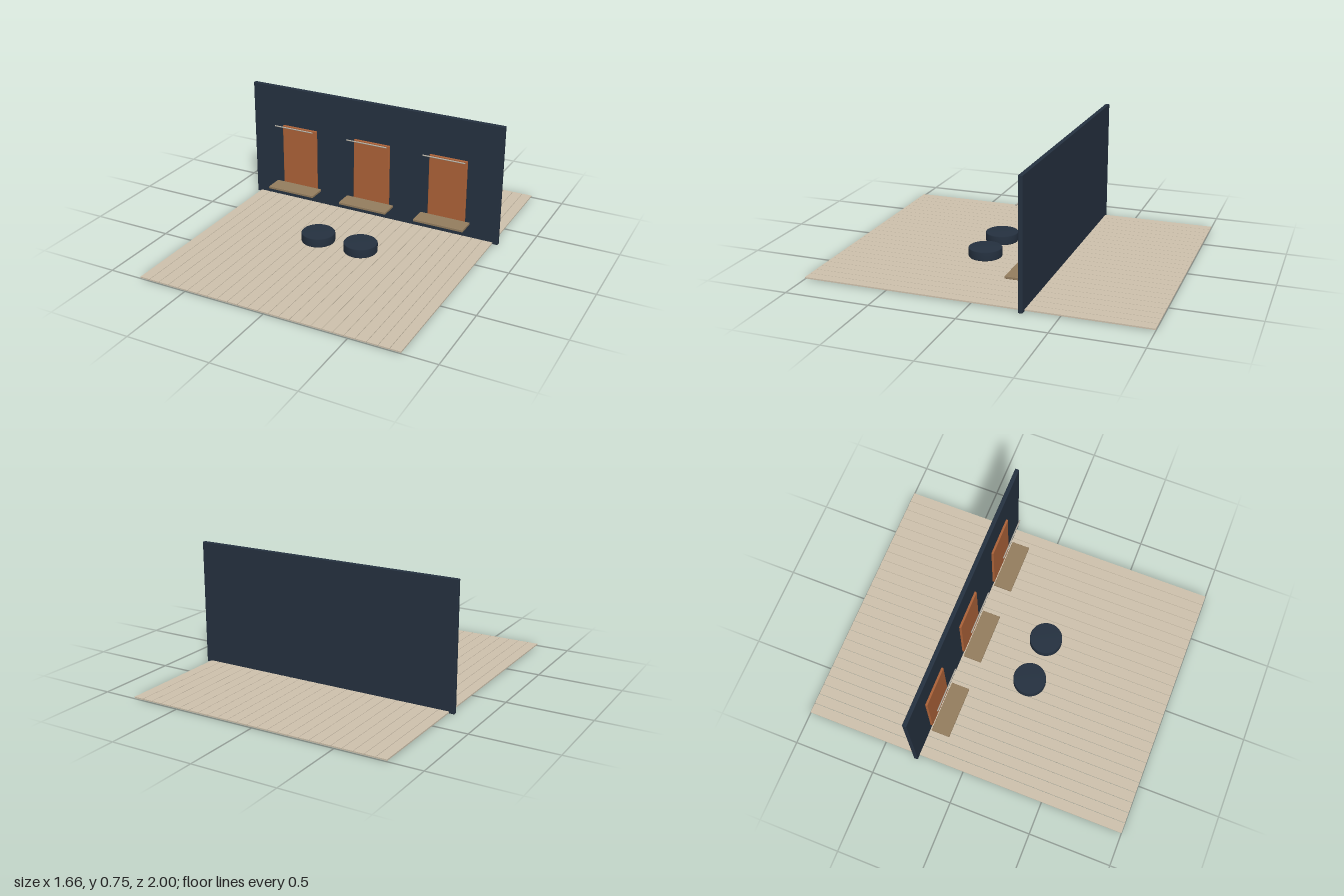
import * as THREE from 'three';
import { RoundedBoxGeometry } from 'three/addons/geometries/RoundedBoxGeometry.js';

const material = (name, color) => {
  const m = new THREE.MeshStandardMaterial({ color });
  m.name = name;
  return m;
};

export function createModel() {
  const navy = material('navy', 0x253140);
  const terracotta = material('terracotta', 0xac6238);
  const wood = material('shelf wood', 0x957e5f);
  const paleWood = material('pale deck wood', 0xcfc2ad);
  const metal = material('rod metal', 0xb5b0a4);

  const model = new THREE.Group();
  model.name = 'displayStand';

  const add = (name, geometry, mat, x, y, z) => {
    const mesh = new THREE.Mesh(geometry, mat);
    mesh.name = name;
    mesh.position.set(x, y, z);
    model.add(mesh);
    return mesh;
  };

  // Deck of separate planks running front to back
  const plank = new THREE.BoxGeometry(0.061, 0.008, 2);
  for (let i = 0; i < 25; i++) {
    add('deckPlank', plank, paleWood, -0.7695 + i * 0.064, 0.008, 0);
  }

  // Wall across the deck, with slightly softened edges
  add('backWall', new RoundedBoxGeometry(1.66, 0.75, 0.025, 2, 0.004), navy, 0, 0.375, -0.2925);

  // Three bays: panel on the wall, shelf in front, rod above
  const panel = new RoundedBoxGeometry(0.24, 0.43, 0.016, 2, 0.004);
  const shelf = new RoundedBoxGeometry(0.316, 0.015, 0.112, 2, 0.002);
  const rod = new THREE.CylinderGeometry(0.004, 0.004, 0.265, 12).rotateZ(Math.PI / 2);
  for (const x of [-0.5, 0, 0.5]) {
    add('wallPanel', panel, terracotta, x, 0.285, -0.275);
    add('shelf', shelf, wood, x, 0.115, -0.198);
    add('hangingRod', rod, metal, x, 0.52, -0.198);
  }

  // Low round poufs with bevelled rims
  const profile = [
    [0, 0], [0.097, 0], [0.1, 0.004], [0.1, 0.051], [0.097, 0.055], [0, 0.055],
  ].map(([r, y]) => new THREE.Vector2(r, y));
  const pouf = new THREE.LatheGeometry(profile, 40);
  for (const x of [-0.13, 0.15]) add('pouf', pouf, navy, x, 0.014, 0.167);

  return model;
}
